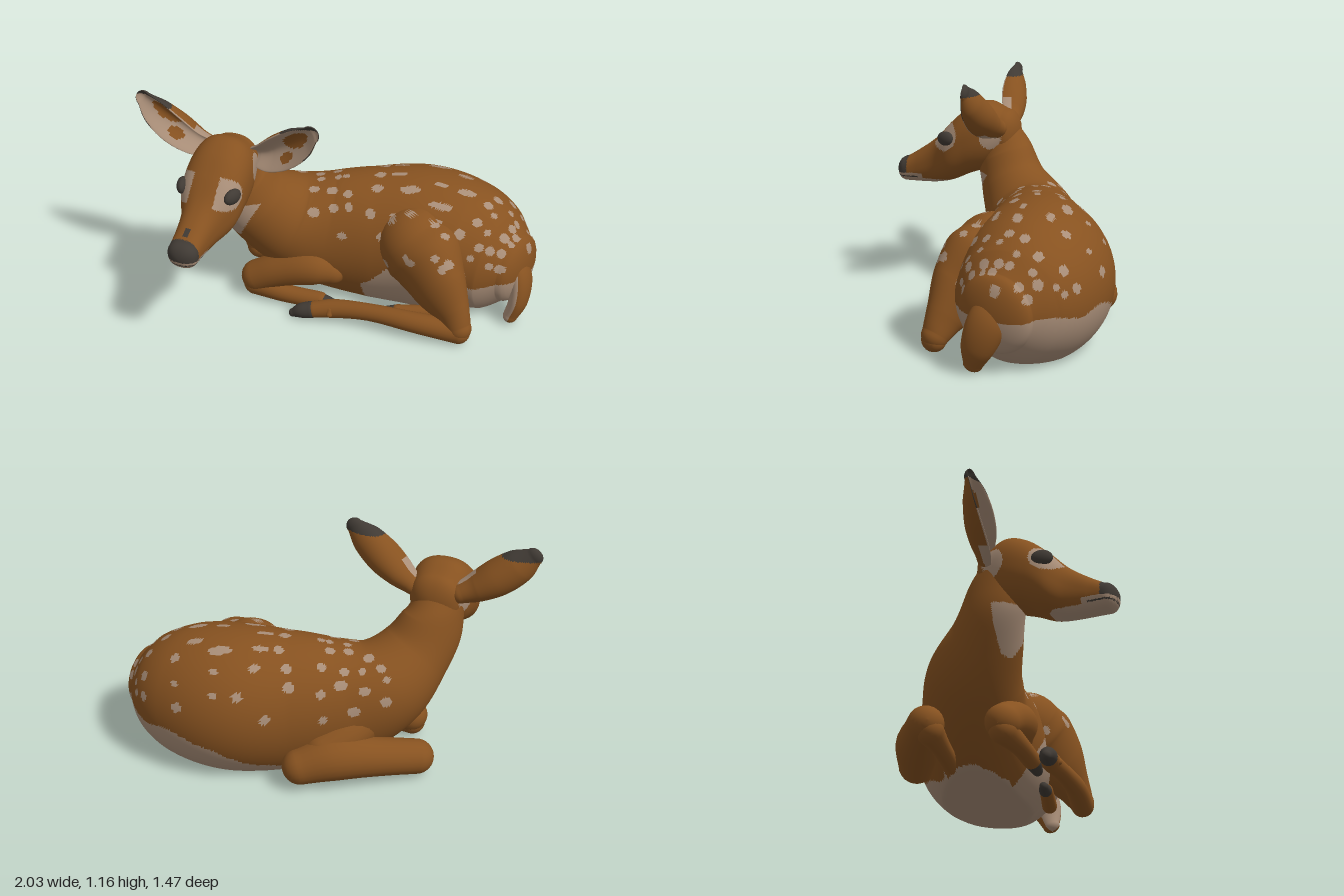
import * as THREE from 'three';

const mat = (name, color) => Object.assign(new THREE.MeshStandardMaterial({ color }), { name });
const MATS = [mat('brown fur', 0x875220), mat('cream fur', 0xa98e78), mat('dark horn', 0x403a34)];
const BROWN = 0, CREAM = 1, DARK = 2;
const CX = -0.517; // centre of the head

let seed = 7;
const rnd = () => {
  seed = (seed * 16807) % 2147483647;
  return seed / 2147483647;
};

// Smooth tube through stations [x, y, z, halfWidth, halfHeight] with rounded ends, resting on the ground
function loft(pts, { up = [0, 1, 0], dir, n = 16, m = 22, cap = 1, capEnd = cap, shape = (c, s) => [c, s] } = {}) {
  const path = new THREE.CatmullRomCurve3(pts.map((p) => new THREE.Vector3(p[0], p[1], p[2])));
  const radii = new THREE.CatmullRomCurve3(pts.map((p) => new THREE.Vector3(p[3], p[4], 0)), false, 'catmullrom', 0.5);
  const hint = new THREE.Vector3(...up);
  const C = 8, rings = [];
  for (let k = 0; k < C; k++) rings.push([0, -cap, (k + 0.05) / C]);
  for (let k = 0; k <= n; k++) rings.push([k / n, 0, 1]);
  for (let k = C - 1; k >= 0; k--) rings.push([1, capEnd, (k + 0.05) / C]);
  const pos = [], idx = [];
  for (const [t, off, q] of rings) {
    const c = path.getPoint(t), r = radii.getPoint(t);
    const tan = dir ? new THREE.Vector3(...dir).normalize() : path.getTangent(t);
    const side = new THREE.Vector3().crossVectors(hint, tan).normalize();
    const top = new THREE.Vector3().crossVectors(tan, side);
    const th = q * Math.PI / 2, k = Math.sin(th);
    c.addScaledVector(tan, off * Math.min(r.x, r.y) * Math.cos(th));
    for (let j = 0; j < m; j++) {
      const a = j / m * Math.PI * 2, [u, v] = shape(Math.cos(a), Math.sin(a));
      const p = c.clone().addScaledVector(side, u * r.x * k).addScaledVector(top, v * r.y * k);
      pos.push(p.x, Math.max(0, p.y), p.z);
    }
  }
  for (let i = 0; i < rings.length - 1; i++) for (let j = 0; j < m; j++) {
    const a = i * m + j, b = i * m + (j + 1) % m;
    idx.push(a, b, a + m, b, b + m, a + m);
  }
  const geo = new THREE.BufferGeometry();
  geo.setAttribute('position', new THREE.Float32BufferAttribute(pos, 3));
  geo.setIndex(idx);
  geo.computeVertexNormals();
  geo.userData = { m, rings: rings.length };
  return geo;
}

// Sorts faces into colour groups: rule(centre, along 0..1, angle) gives the material number
function paint(geo, rule) {
  const src = geo.index.array, pos = geo.attributes.position, { m, rings } = geo.userData;
  const bins = [[], [], []], c = new THREE.Vector3(), v = new THREE.Vector3();
  for (let f = 0; f < src.length; f += 3) {
    c.set(0, 0, 0);
    for (let k = 0; k < 3; k++) c.add(v.fromBufferAttribute(pos, src[f + k]));
    c.divideScalar(3);
    const quad = Math.floor(f / 6);
    const bin = bins[rule(c, Math.floor(quad / m) / rings, (quad % m + 0.5) / m * Math.PI * 2)];
    bin.push(src[f], src[f + 1], src[f + 2]);
  }
  geo.setIndex(bins.flat());
  let start = 0;
  bins.forEach((b, i) => { if (b.length) geo.addGroup(start, b.length, i); start += b.length; });
  return geo;
}

// Jittered rows of spots on a loft, long streaks on top of the rump
function scatter(geo, di, dj, keep) {
  const { m, rings } = geo.userData, spots = [];
  for (let j = 0; j < m; j += dj) for (let i = 4; i < rings - 4; i += di) {
    const a = Math.min(rings - 1, Math.floor(i + rnd() * di * 0.7)), b = Math.floor(j + rnd() * dj * 0.6) % m;
    const p = new THREE.Vector3().fromBufferAttribute(geo.attributes.position, a * m + b);
    const long = p.x > 0.2 && p.y > 0.62 ? 2.3 : 1 + rnd() * 0.3;
    if (rnd() > 0.15 && keep(p)) spots.push({ p, r: 0.017 + rnd() * 0.01, long });
  }
  return spots;
}
const inSpot = (spots, c) => spots.some(({ p, r, long }) => {
  const dx = c.x - p.x, dz = c.z - p.z;
  const along = (dx * 0.96 - dz * 0.28) / long, across = dx * 0.28 + dz * 0.96;
  return along * along + across * across + (c.y - p.y) ** 2 < r * r;
});
const inEllipse = (a, b, ra, rb) => (a / ra) ** 2 + (b / rb) ** 2 < 1;
const clamp = THREE.MathUtils.clamp;

export function createModel() {
  const model = new THREE.Group();
  model.name = 'lyingFawn';
  const add = (name, geo, material = MATS[BROWN]) => {
    const mesh = new THREE.Mesh(geo, material);
    mesh.name = name;
    model.add(mesh);
    return mesh;
  };

  // Torso and neck in one sweep, from the rump to the skull
  const torso = loft([
    [0.89, 0.28, -0.3, 0.19, 0.19], [0.8, 0.285, -0.32, 0.275, 0.275], [0.62, 0.3, -0.355, 0.35, 0.355],
    [0.38, 0.31, -0.35, 0.375, 0.385], [0.1, 0.31, -0.27, 0.315, 0.37], [-0.15, 0.335, -0.18, 0.265, 0.325],
    [-0.33, 0.415, -0.09, 0.24, 0.255], [-0.45, 0.56, 0.03, 0.18, 0.195], [-0.51, 0.7, 0.1, 0.145, 0.175],
    [-0.53, 0.82, 0.15, 0.125, 0.13],
  ], { n: 190, m: 160, cap: 0.42, capEnd: 0.5 });
  const coat = scatter(torso, 12, 9, (p) => p.y > 0.33 && p.x > -0.42 && p.z < 0.03 && (p.x > -0.2 || p.y < 0.64));
  add('torso', paint(torso, (c) => {
    if (c.z > 0.14 && c.y > 0.41 && Math.abs(c.x - CX) < 0.05 + 0.55 * (c.y - 0.41) && c.y < 0.63) return CREAM; // throat
    const flank = c.x > 0.15 ? clamp(0.17 + 0.9 * (c.x - 0.15), 0, c.x > 0.6 ? 0.27 : 0.31) : 0;
    const line = c.z > -0.35 ? flank : 0.03 + 0.24 * clamp(c.x / 0.5, 0, 1);
    if (c.y < line + 0.012 * Math.sin(c.x * 23) || c.y < 0.005) return CREAM; // belly
    return inSpot(coat, c) ? CREAM : BROWN;
  }), MATS);

  // Head with painted eye patches, cheeks, nose and chin
  const square = (v) => Math.sign(v) * Math.abs(v) ** 0.85;
  const head = loft([
    [CX, 0.84, 0.1, 0.13, 0.13], [CX, 0.825, 0.2, 0.158, 0.185], [CX, 0.79, 0.3, 0.166, 0.187],
    [CX, 0.727, 0.4, 0.155, 0.168], [CX, 0.665, 0.5, 0.104, 0.128], [CX, 0.627, 0.6, 0.085, 0.094],
    [CX, 0.603, 0.68, 0.08, 0.069],
  ], { dir: [0, 0, 1], n: 84, m: 100, cap: 0.6, capEnd: 0.8, shape: (c, s) => [square(c), square(s)] });
  add('head', paint(head, (c) => {
    const dx = Math.abs(c.x - CX);
    if (c.z > 0.665 && c.y > 0.587) return DARK;
    if (c.z > 0.6 && c.y > 0.565 && c.y < 0.572) return DARK;
    if (c.y < (c.z > 0.57 ? 0.59 : 0.562) && c.z > 0.4) return CREAM;
    if (dx < 0.014 && Math.abs(c.z - 0.63) < 0.02 && c.y > 0.68) return DARK;
    if (dx > 0.09 && inEllipse(c.y - 0.84, c.z - 0.15, 0.075, 0.06)) return CREAM;
    return dx > 0.07 && inEllipse(c.y - 0.822, c.z - 0.425, 0.08, 0.085) ? CREAM : BROWN;
  }), MATS);

  for (const s of [1, -1]) {
    const sideName = s > 0 ? 'left' : 'right';
    const eye = add(sideName + 'Eye', new THREE.SphereGeometry(1, 24, 16), MATS[DARK]);
    eye.scale.set(0.028, 0.04, 0.053);
    eye.position.set(CX + s * 0.14, 0.81, 0.405);
    eye.rotation.y = s * -0.3;

    // Deeply cupped ear with pale lining and dark tip
    const ear = loft([
      [0.12, 0.88, 0.13, 0.055, 0.07], [0.2, 0.915, 0.165, 0.078, 0.1], [0.3, 0.98, 0.185, 0.095, 0.105],
      [0.4, 1.06, 0.19, 0.085, 0.075], [0.465, 1.12, 0.185, 0.047, 0.03],
    ].map(([x, ...rest]) => [CX + s * x, ...rest]), {
      up: [0, 0, 1], n: 50, m: 64, capEnd: 1.4,
      shape: (c, v) => [c, v > 0 ? v * (1 - 1.7 * v) : v],
    });
    add(sideName + 'Ear', paint(ear, (c, u, a) => {
      const outer = s * Math.cos(a), front = Math.sin(a);
      if (c.y > 1.135 || (c.y > 1.1 && front < 0.3)) return DARK;
      if (front < 0.1) return u < 0.35 && front > -0.4 && c.z > 0.11 ? CREAM : BROWN;
      if (u > 0.62 && Math.abs(outer) > 0.93) return DARK;
      return inEllipse(outer - 0.1, u - 0.62, 0.45, 0.15) || inEllipse(outer + 0.5, u - 0.45, 0.2, 0.07) ? BROWN : CREAM;
    }), MATS);
  }

  // Near hind leg: haunch tapering to the hock, then the shin running forward along the ground
  const haunch = loft([
    [0.4, 0.42, -0.13, 0.2, 0.205], [0.48, 0.355, -0.09, 0.19, 0.235], [0.58, 0.255, -0.015, 0.132, 0.18],
    [0.67, 0.155, 0.03, 0.085, 0.11], [0.72, 0.08, 0.06, 0.065, 0.07],
  ], { n: 70, m: 90 });
  const haunchSpots = scatter(haunch, 11, 9, (p) => p.y > 0.34);
  add('leftHaunch', paint(haunch, (c) => (inSpot(haunchSpots, c) ? CREAM : BROWN)), MATS);

  const limb = (name, pts, material) => add(name, loft(pts.map(([x, y, z, r]) => [x, y, z, r, r])), material);
  limb('leftHindShin', [[0.72, 0.06, 0.065, 0.062], [0.5, 0.085, 0.11, 0.055], [0.25, 0.09, 0.13, 0.046],
    [0.06, 0.07, 0.15, 0.05], [-0.04, 0.055, 0.18, 0.045]]);
  limb('leftHindHoof', [[-0.06, 0.05, 0.185, 0.046], [-0.11, 0.04, 0.2, 0.04], [-0.15, 0.022, 0.21, 0.024]], MATS[DARK]);
  limb('dewclaw', [[0.05, 0.08, 0.18, 0.022], [0.05, 0.06, 0.195, 0.018]]);

  // Far hind foot peeking out from under the belly
  limb('rightHindShin', [[0.6, 0.04, -0.08, 0.04], [0.36, 0.04, 0.0, 0.035]]);
  limb('rightHindHoof', [[0.35, 0.035, 0.0, 0.034], [0.25, 0.022, 0.03, 0.022]], MATS[DARK]);

  // Forelegs folded at the knee
  limb('leftForearm', [[-0.01, 0.2, 0.01, 0.07], [-0.1, 0.225, 0.04, 0.1], [-0.28, 0.18, 0.075, 0.093],
    [-0.415, 0.115, 0.095, 0.086]]);
  limb('leftForeShin', [[-0.42, 0.07, 0.1, 0.068], [-0.25, 0.055, 0.11, 0.05], [-0.05, 0.05, 0.09, 0.046]]);
  limb('leftForeHoof', [[-0.03, 0.045, 0.09, 0.042], [0.05, 0.03, 0.08, 0.028]], MATS[DARK]);
  limb('rightForearm', [[-0.05, 0.12, -0.55, 0.095], [-0.2, 0.155, -0.46, 0.12], [-0.4, 0.13, -0.34, 0.1],
    [-0.555, 0.105, -0.24, 0.09]]);
  limb('rightShoulder', [[-0.14, 0.18, -0.45, 0.11], [-0.22, 0.24, -0.35, 0.12], [-0.3, 0.31, -0.22, 0.12]]);
  limb('rightForeShin', [[-0.555, 0.07, -0.22, 0.07], [-0.4, 0.05, -0.24, 0.05], [-0.15, 0.045, -0.3, 0.045]]);

  // Tail curled down over the rump, pale on the inside
  const tail = loft([
    [0.86, 0.33, -0.34, 0.11, 0.06], [0.935, 0.25, -0.28, 0.1, 0.058], [0.948, 0.13, -0.23, 0.08, 0.05],
    [0.92, 0.04, -0.2, 0.048, 0.038],
  ], { up: [1, 0, 0], n: 40, m: 48 });
  add('tail', paint(tail, (c, u, a) => (Math.sin(a) < 0.15 && Math.cos(a) < 0.5 ? CREAM : BROWN)), MATS);

  return model;
}
